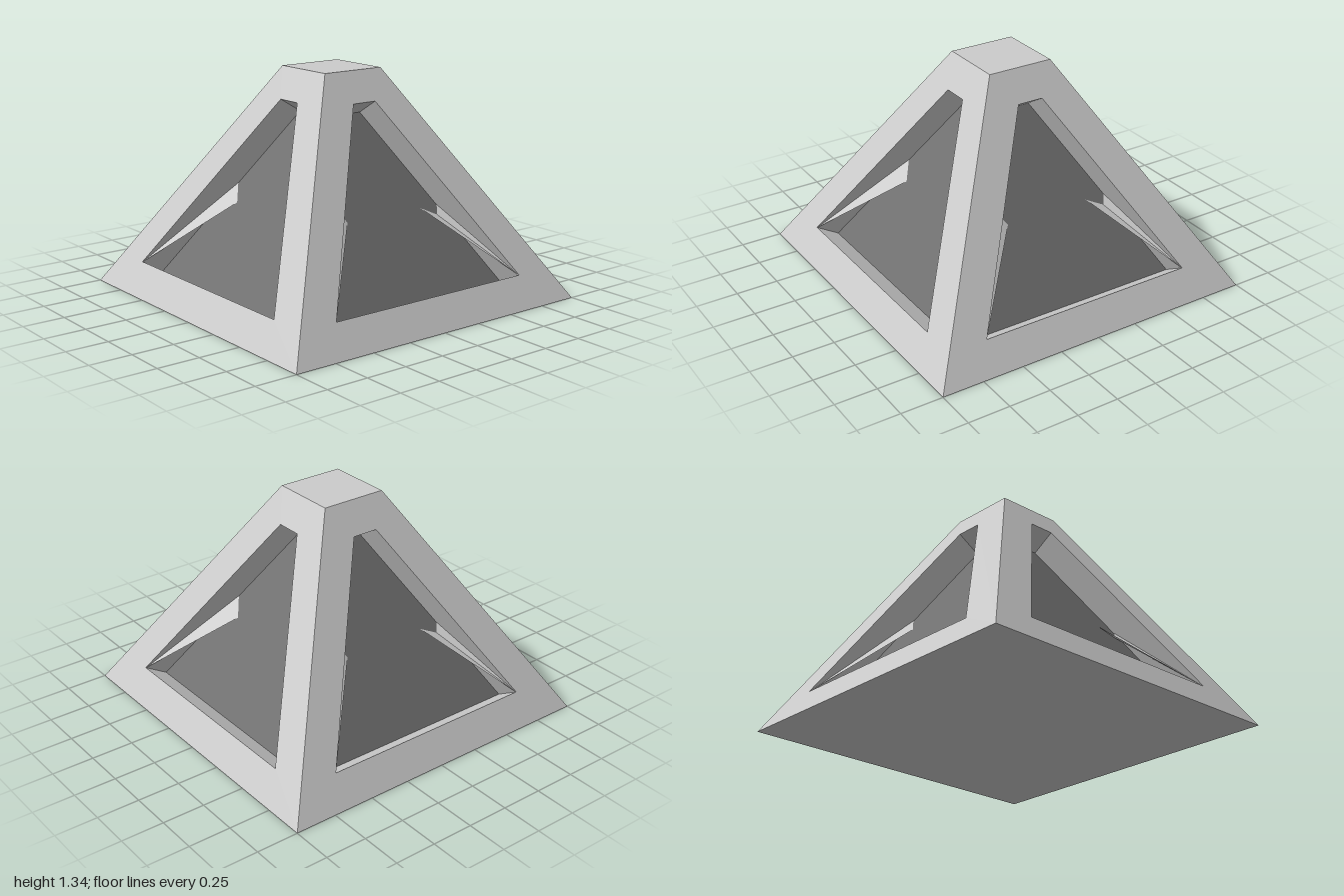
import * as THREE from 'three';

const H = 1.335, TOP = 0.2, DEPTH = 0.16;
const SLOPE = Math.hypot(1 - TOP, H);
const TILT = -Math.atan2(1 - TOP, H);

const frameMat = new THREE.MeshStandardMaterial({ color: 0xcccccc, flatShading: true, side: THREE.DoubleSide });
const panelMat = new THREE.MeshStandardMaterial({ color: 0x707070, flatShading: true, side: THREE.DoubleSide });

function add(parent, name, geometry, material) {
  const mesh = new THREE.Mesh(geometry, material);
  mesh.name = name;
  parent.add(mesh);
  return mesh;
}

// symmetric trapezoid outline, counter-clockwise
function trapezoid(y0, w0, y1, w1) {
  return [[-w0, y0], [w0, y0], [w1, y1], [-w1, y1]].map(([x, y]) => new THREE.Vector2(x, y));
}

function triangles(points) {
  const g = new THREE.BufferGeometry();
  g.setAttribute('position', new THREE.Float32BufferAttribute(points.flat(), 3));
  g.computeVertexNormals();
  return g;
}

// one sloping side, drawn in its own plane: x across, y up the slope, z outward
function createSide() {
  const side = new THREE.Group();
  const opening = trapezoid(0.204, 0.665, 1.358, 0.078);

  const face = new THREE.Shape(trapezoid(0, 1, SLOPE, TOP));
  face.holes.push(new THREE.Path(opening));
  add(side, 'frameFace', new THREE.ShapeGeometry(face), frameMat);

  // walls of the recess
  const walls = [];
  opening.forEach((a, i) => {
    const b = opening[(i + 1) % 4];
    const A = [a.x, a.y, 0], B = [b.x, b.y, 0];
    const C = [b.x, b.y, -DEPTH], D = [a.x, a.y, -DEPTH];
    walls.push(A, B, C, A, C, D);
  });
  add(side, 'recessWalls', triangles(walls), frameMat);

  // dark panel at the bottom of the recess
  add(side, 'panel', new THREE.ShapeGeometry(new THREE.Shape(opening)), panelMat).position.z = -DEPTH;

  // thin slivers rising from the panel to the lower corners
  const f = -DEPTH + 0.002;
  const left = [-0.663, 0.205, -0.002], right = [0.663, 0.205, -0.002];
  const notch = [0.37, 0.68, f];
  add(side, 'cornerSlivers', triangles([
    left, [-0.265, 0.738, f], [-0.335, 0.85, f],
    right, [0.393, 0.738, f], notch,
    right, notch, [0.265, 0.738, f],
  ]), frameMat);

  side.position.z = 1;
  side.rotation.x = TILT;
  return side;
}

export function createModel() {
  const model = new THREE.Group();
  model.name = 'panelledPyramid';

  ['front', 'left', 'back', 'right'].forEach((name, i) => {
    const turn = new THREE.Group();
    turn.name = name + 'Side';
    turn.rotation.y = i * Math.PI / 2;
    turn.add(createSide());
    model.add(turn);
  });

  // flat top and underside
  const cap = add(model, 'topCap', new THREE.PlaneGeometry(2 * TOP, 2 * TOP), frameMat);
  cap.rotation.x = -Math.PI / 2;
  cap.position.y = H;
  add(model, 'base', new THREE.PlaneGeometry(2, 2), frameMat).rotation.x = Math.PI / 2;

  return model;
}
